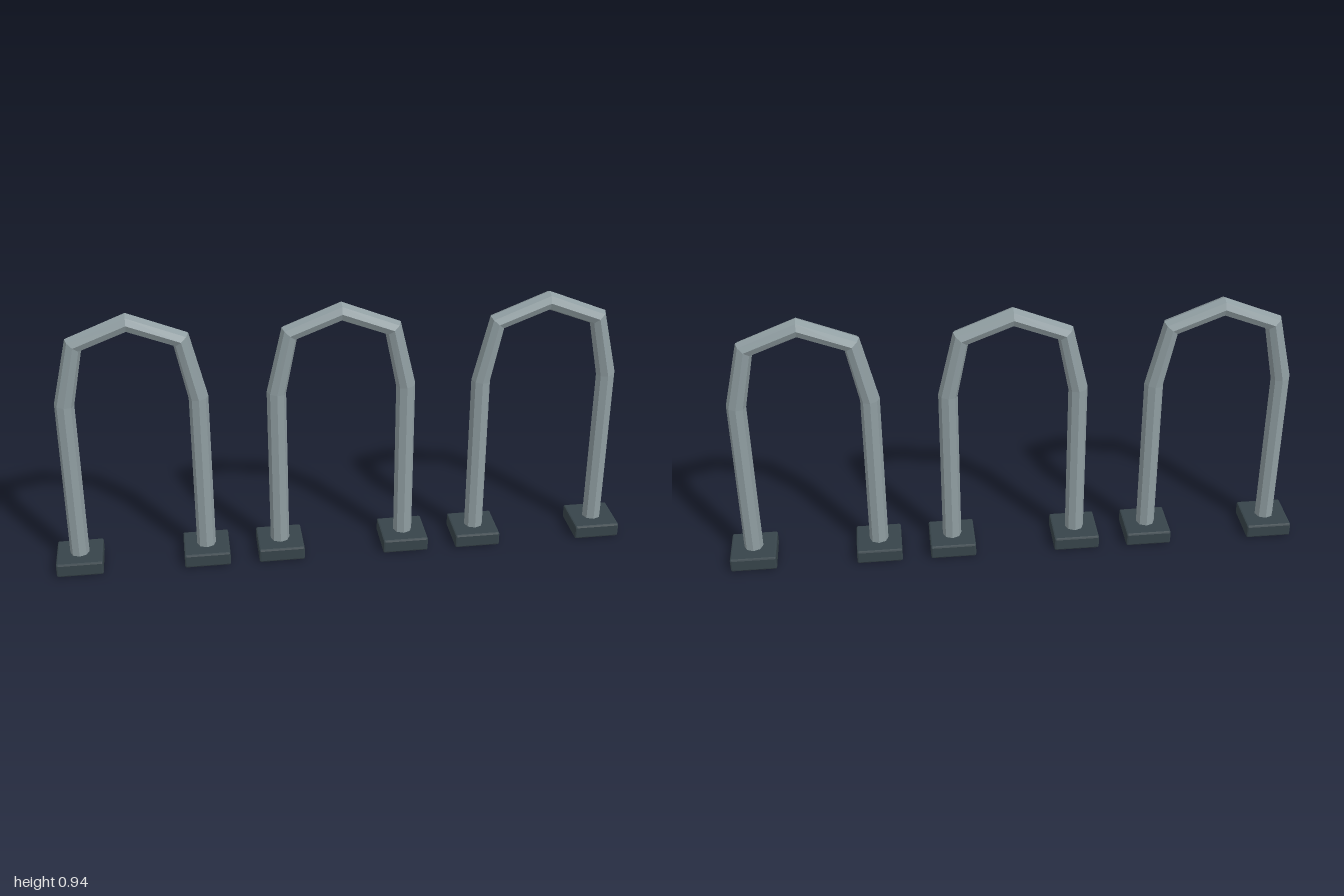
import * as THREE from 'three';
import { RoundedBoxGeometry } from 'three/addons/geometries/RoundedBoxGeometry.js';

// Polyline whose parameter steps evenly from corner to corner, with mitred corner tangents.
class ArchCurve extends THREE.Curve {
  constructor(points) {
    super();
    this.points = points;
  }
  getPointAt(u, target = new THREE.Vector3()) {
    return target.copy(this.points[Math.round(u * (this.points.length - 1))]);
  }
  getTangentAt(u, target = new THREE.Vector3()) {
    const p = this.points;
    const i = Math.round(u * (p.length - 1));
    target.set(0, 0, 0);
    if (i > 0) target.add(p[i].clone().sub(p[i - 1]).normalize());
    if (i < p.length - 1) target.add(p[i + 1].clone().sub(p[i]).normalize());
    return target.normalize();
  }
}

export function createModel() {
  const steel = new THREE.MeshStandardMaterial({ color: 0x8f9da1, flatShading: true });
  steel.name = 'brushed steel';
  const darkMetal = new THREE.MeshStandardMaterial({ color: 0x37444a, flatShading: true });
  darkMetal.name = 'dark base metal';

  const legX = 0.22;
  const half = [[legX, 0.02], [legX, 0.622], [0.173, 0.834]];
  const path = [
    ...half.map(([x, y]) => [-x, y]),
    [0, 0.902],
    ...half.slice().reverse(),
  ].map(([x, y]) => new THREE.Vector3(x, y, 0));

  // Eight-sided bent tube and chamfered foot plate, shared by every hoop
  const hoopGeometry = new THREE.TubeGeometry(new ArchCurve(path), path.length - 1, 0.033, 8, false);
  const footGeometry = new RoundedBoxGeometry(0.16, 0.05, 0.16, 1, 0.006);

  const model = new THREE.Group();
  model.name = 'hoopBarrier';
  [-0.7, 0, 0.7].forEach((x, i) => {
    const hoop = new THREE.Group();
    hoop.name = `hoop${i + 1}`;
    hoop.position.x = x;

    const tube = new THREE.Mesh(hoopGeometry, steel);
    tube.name = 'archTube';
    hoop.add(tube);

    // Foot plates under both legs
    for (const side of [-1, 1]) {
      const foot = new THREE.Mesh(footGeometry, darkMetal);
      foot.name = side > 0 ? 'leftFoot' : 'rightFoot';
      foot.position.set(side * legX, 0.025, 0);
      hoop.add(foot);
    }
    model.add(hoop);
  });
  return model;
}
